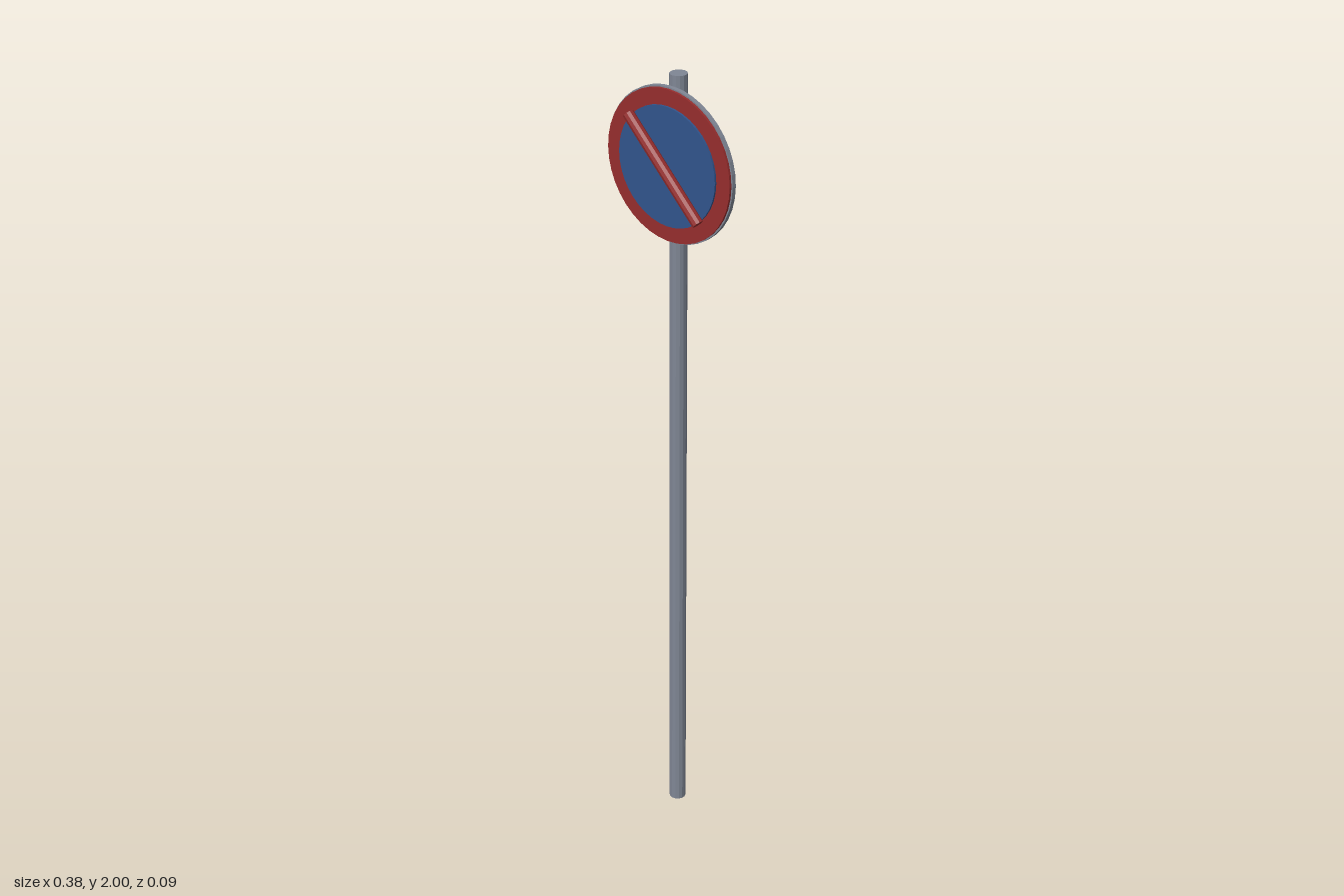
import * as THREE from 'three';

const SIGN_Y = 1.787;

function material(color) {
  return new THREE.MeshStandardMaterial({ color, flatShading: true });
}

export function createModel() {
  const group = new THREE.Group();
  const grey = material(0x7f8694);
  const red = material(0x962d2d);
  const blue = material(0x31548c);

  function add(name, geometry, mat, x, y, z) {
    const mesh = new THREE.Mesh(geometry, mat);
    mesh.name = name;
    mesh.position.set(x, y, z);
    group.add(mesh);
    return mesh;
  }

  // Round disc facing +z between two depths
  function disc(name, radius, back, front, mat) {
    const geometry = new THREE.CylinderGeometry(radius, radius, front - back, 40);
    geometry.rotateX(Math.PI / 2);
    add(name, geometry, mat, 0, SIGN_Y, (back + front) / 2);
  }

  // Upright pole
  add('pole', new THREE.CylinderGeometry(0.021, 0.021, 2, 14), grey, 0, 1, -0.0245);

  // Sign plate in stacked layers
  disc('backPlate', 0.1875, -0.005, 0.006, grey);
  disc('redBorder', 0.184, 0.006, 0.012, red);
  disc('blueFace', 0.145, 0.012, 0.017, blue);

  // Diagonal bar, upper left to lower right in the front view
  const bar = add('diagonalBar', new THREE.CylinderGeometry(0.0138, 0.0138, 0.298, 10), red, 0, SIGN_Y, 0.0285);
  bar.rotation.z = Math.PI / 4;

  return group;
}
